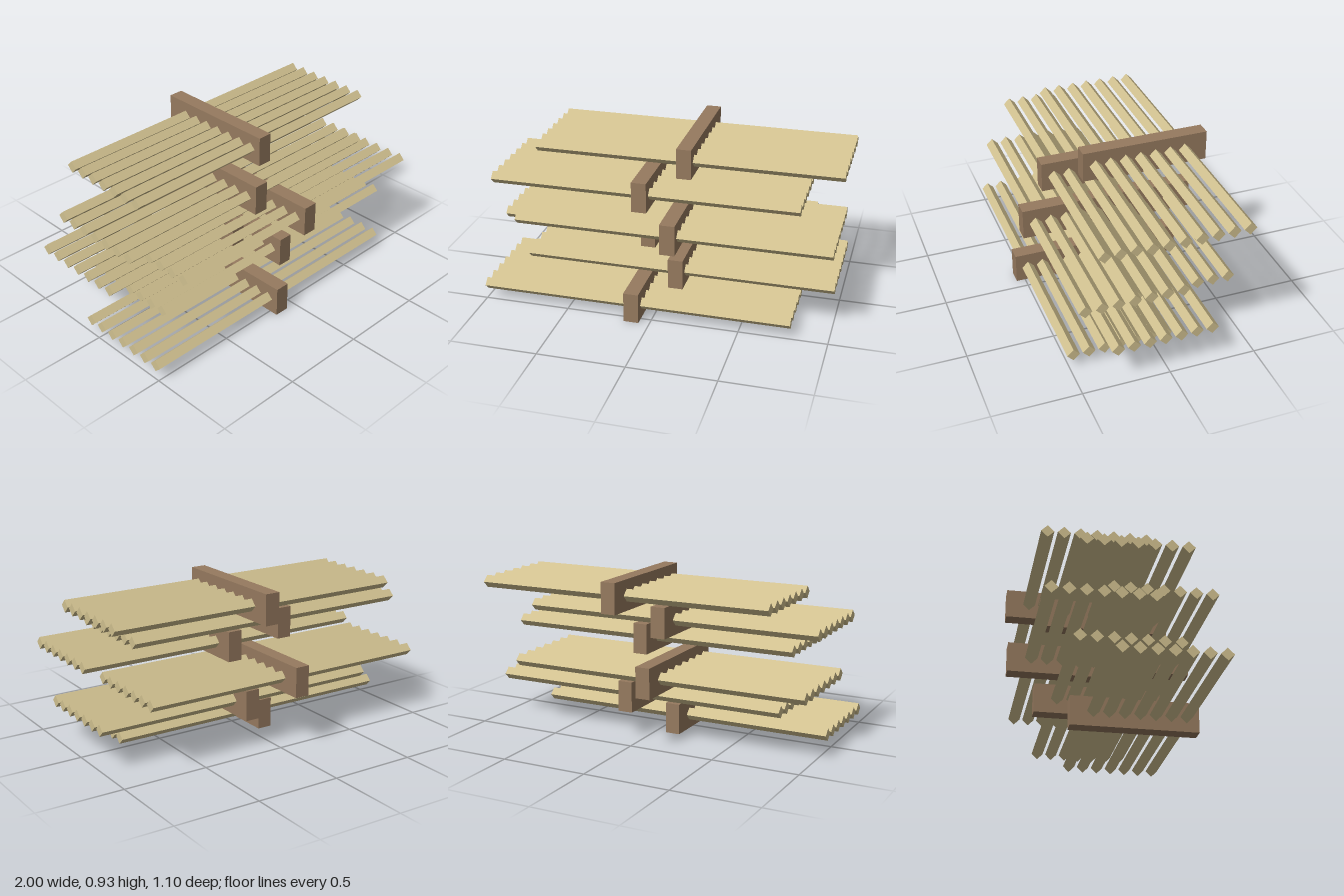
import * as THREE from 'three';

const LAYERS = 6, RODS = 7;
const LAYER_STEP = 0.15, ROD_STEP = 0.0895, ROD_SIDE = 0.0505;

export function createModel() {
  const model = new THREE.Group();
  model.name = 'stackedRodRacks';

  const beamWood = new THREE.MeshStandardMaterial({ color: 0x967a5f });
  beamWood.name = 'brown beam wood';
  const rodWood = new THREE.MeshStandardMaterial({ color: 0xd0c08f });
  rodWood.name = 'pale rod wood';

  const beamGeometry = new THREE.BoxGeometry(0.086, 0.177, 0.745);
  // square rod turned to stand on its edge
  const rodGeometry = new THREE.BoxGeometry(1.79, ROD_SIDE, ROD_SIDE).rotateX(Math.PI / 4);

  // layers alternate sideways and step backwards in threes
  for (let i = 0; i < LAYERS; i++) {
    const layer = new THREE.Group();
    layer.name = `layer${i + 1}`;
    layer.position.set(i % 2 ? 0.105 : -0.105, 0.0885 + i * LAYER_STEP, 0.179 * (1 - (i % 3)));

    const beam = new THREE.Mesh(beamGeometry, beamWood);
    beam.name = 'beam';
    layer.add(beam);

    // rods pass through the beam, set slightly towards its front
    for (let j = 0; j < RODS; j++) {
      const rod = new THREE.Mesh(rodGeometry, rodWood);
      rod.name = `rod${j + 1}`;
      rod.position.z = 0.03 + (j - (RODS - 1) / 2) * ROD_STEP;
      layer.add(rod);
    }
    model.add(layer);
  }
  return model;
}
